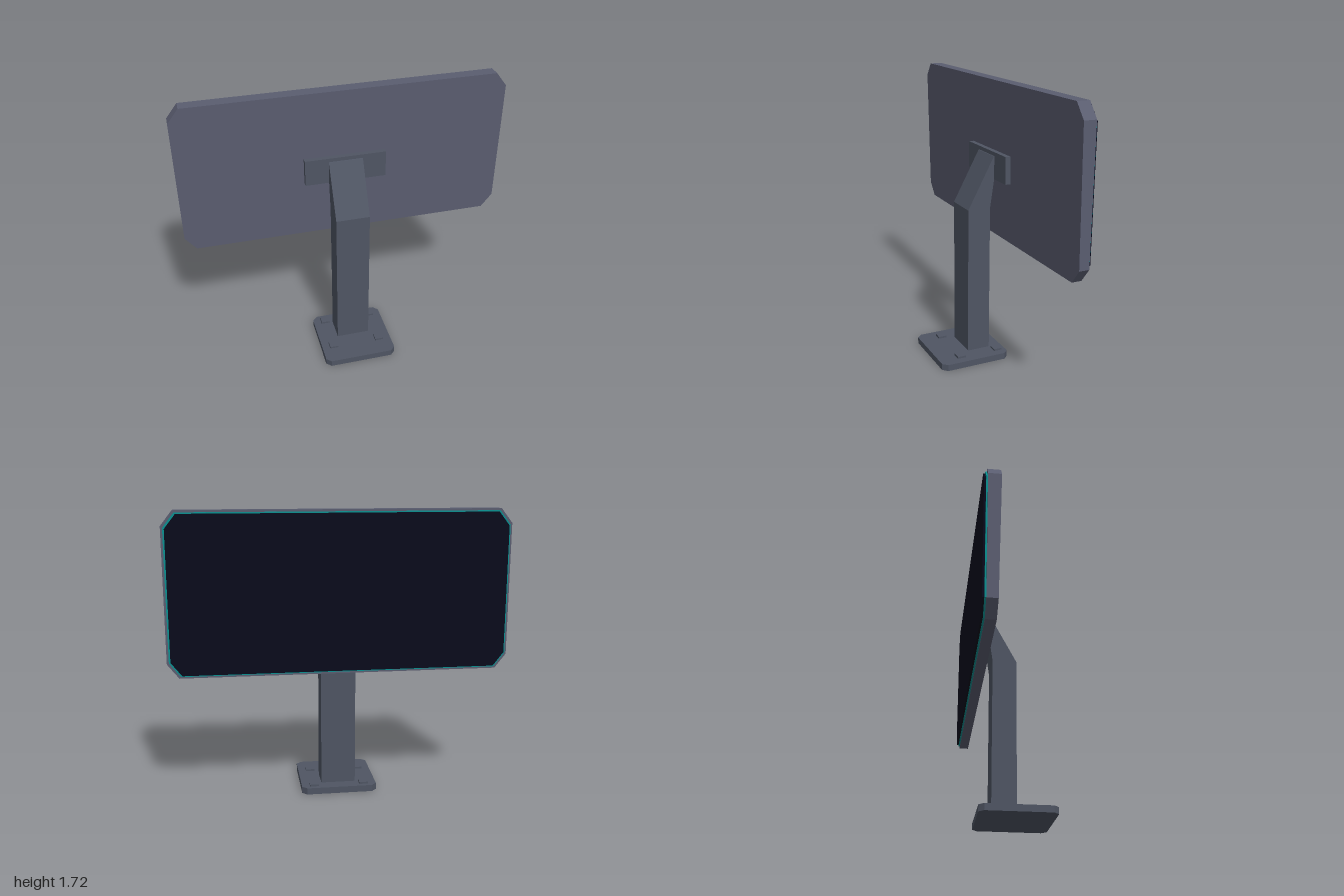
import * as THREE from 'three';

const paint = (color) => new THREE.MeshStandardMaterial({ color, flatShading: true });

// Rectangle with cut corners, centred on the origin
function cutRect(w, h, cx, cy) {
  const x = w / 2, y = h / 2;
  return new THREE.Shape([
    [-x + cx, -y], [x - cx, -y], [x, -y + cy], [x, y - cy],
    [x - cx, y], [-x + cx, y], [-x, y - cy], [-x, -y + cy],
  ].map(([a, b]) => new THREE.Vector2(a, b)));
}

const slab = (shape, depth) => new THREE.ExtrudeGeometry(shape, { depth, bevelEnabled: false });

export function createModel() {
  const model = new THREE.Group();
  const metal = paint(0x4f5563);
  const shell = paint(0x5a5d70);
  const glow = paint(0x0a9090);
  const glass = paint(0x090a1c);

  function add(name, geometry, material, x = 0, y = 0, z = 0) {
    const mesh = new THREE.Mesh(geometry, material);
    mesh.name = name;
    mesh.position.set(x, y, z);
    model.add(mesh);
    return mesh;
  }

  // Foot plate with four bolt heads
  const foot = slab(cutRect(0.46, 0.445, 0.03, 0.03), 0.04).rotateX(-Math.PI / 2);
  add('footPlate', foot, metal, 0, 0, 0.0325);
  for (const x of [-0.153, 0.153]) {
    for (const z of [0.112, -0.138]) {
      add('bolt', new THREE.BoxGeometry(0.055, 0.012, 0.052), metal, x, 0.046, z);
    }
  }

  // Upright column
  add('column', new THREE.BoxGeometry(0.21, 0.925, 0.145), metal, 0, 0.5025, -0.0375);

  // Slanted neck: side profile in (z, y), extruded across x
  const neck = new THREE.Shape([
    [0.035, 0.965], [-0.11, 0.965], [-0.137, 1.15], [-0.142, 1.285], [-0.132, 1.28],
  ].map(([z, y]) => new THREE.Vector2(-z, y)));
  add('neck', slab(neck, 0.21).rotateY(Math.PI / 2), metal, -0.105);

  // Mounting plate behind the screen
  add('mountPlate', new THREE.BoxGeometry(0.5, 0.165, 0.035), metal, 0, 1.2225, -0.1525);

  // Screen housing, a little thicker at the top than at the bottom
  const housing = slab(cutRect(2, 0.948, 0.067, 0.085), 0.068);
  const p = housing.attributes.position;
  for (let i = 0; i < p.count; i++) {
    if (p.getZ(i) > 0.01) p.setZ(i, 0.068 + p.getY(i) * 0.018);
  }
  housing.computeVertexNormals();
  add('housing', housing, shell, 0, 1.248, -0.235);

  // Glowing rim and dark display
  add('glowRim', slab(cutRect(1.975, 0.925, 0.065, 0.082), 0.01), glow, 0, 1.248, -0.244);
  add('display', slab(cutRect(1.955, 0.91, 0.063, 0.08), 0.012), glass, 0, 1.248, -0.255);

  return model;
}
